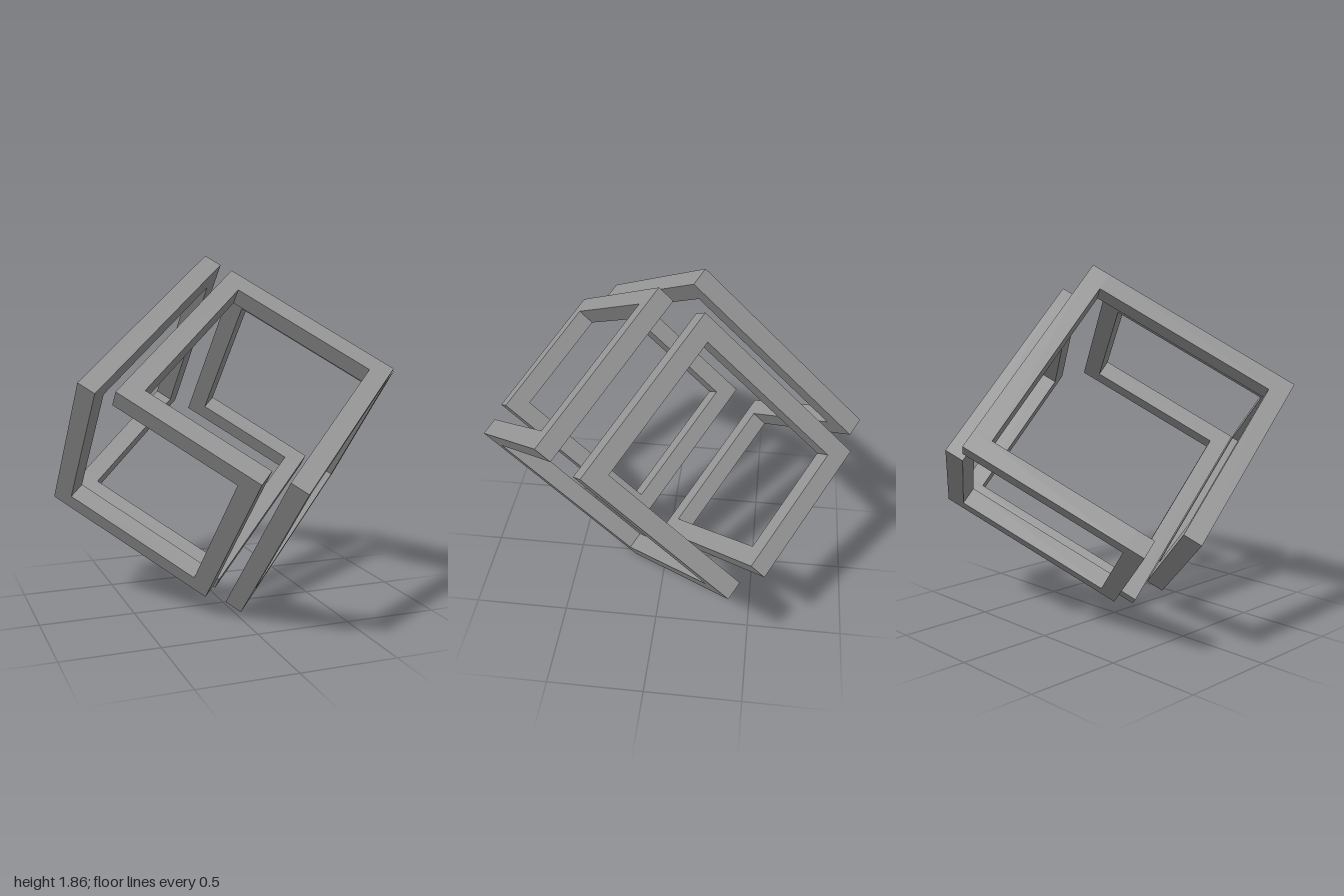
import * as THREE from 'three';

// Closed loop of square bars tracing an interlocked cube frame, tilted onto its edge.
const UNIT = 0.04833; // half the bar thickness

// Bar-centre corners of half the loop, in cube axes; the rest is its mirror through the centre
const HALF = [
  [12, -10, -11], [12, 8, -11], [12, 8, 7], [12, -12, 7], [12, -12, -7],
  [-8, -12, -7], [-8, -12, 11], [10, -12, 11], [10, 10, 11],
].map((p) => new THREE.Vector3(...p));

// Bar covering its start corner and stopping at the face of the next bar
function makeBar(from, to, material) {
  const dir = to.clone().sub(from);
  const length = dir.length();
  dir.normalize();
  const size = ['x', 'y', 'z'].map((k) => (Math.abs(dir[k]) > 0.5 ? length : 2) * UNIT);
  const bar = new THREE.Mesh(new THREE.BoxGeometry(...size), material);
  bar.position.copy(from).add(to).multiplyScalar(0.5).sub(dir).multiplyScalar(UNIT);
  return bar;
}

export function createModel() {
  const model = new THREE.Group();
  model.name = 'interlockedCubeFrame';
  const material = new THREE.MeshStandardMaterial({ color: 0x999999 });

  const frame = new THREE.Group();
  frame.name = 'barLoop';
  const corners = [...HALF, ...HALF.map((p) => p.clone().negate())];
  corners.forEach((corner, i) => {
    const bar = makeBar(corner, corners[(i + 1) % corners.length], material);
    bar.name = `bar${i + 1}`;
    frame.add(bar);
  });

  // Tilt the cube axes and rest the lowest corner on the ground
  const r = Math.SQRT1_2;
  frame.quaternion.setFromRotationMatrix(new THREE.Matrix4().makeBasis(
    new THREE.Vector3(0, r, r),
    new THREE.Vector3(r, 0.5, -0.5),
    new THREE.Vector3(-r, 0.5, -0.5),
  ));
  frame.position.y = (11 * r + 11.5) * UNIT;
  model.add(frame);
  return model;
}
